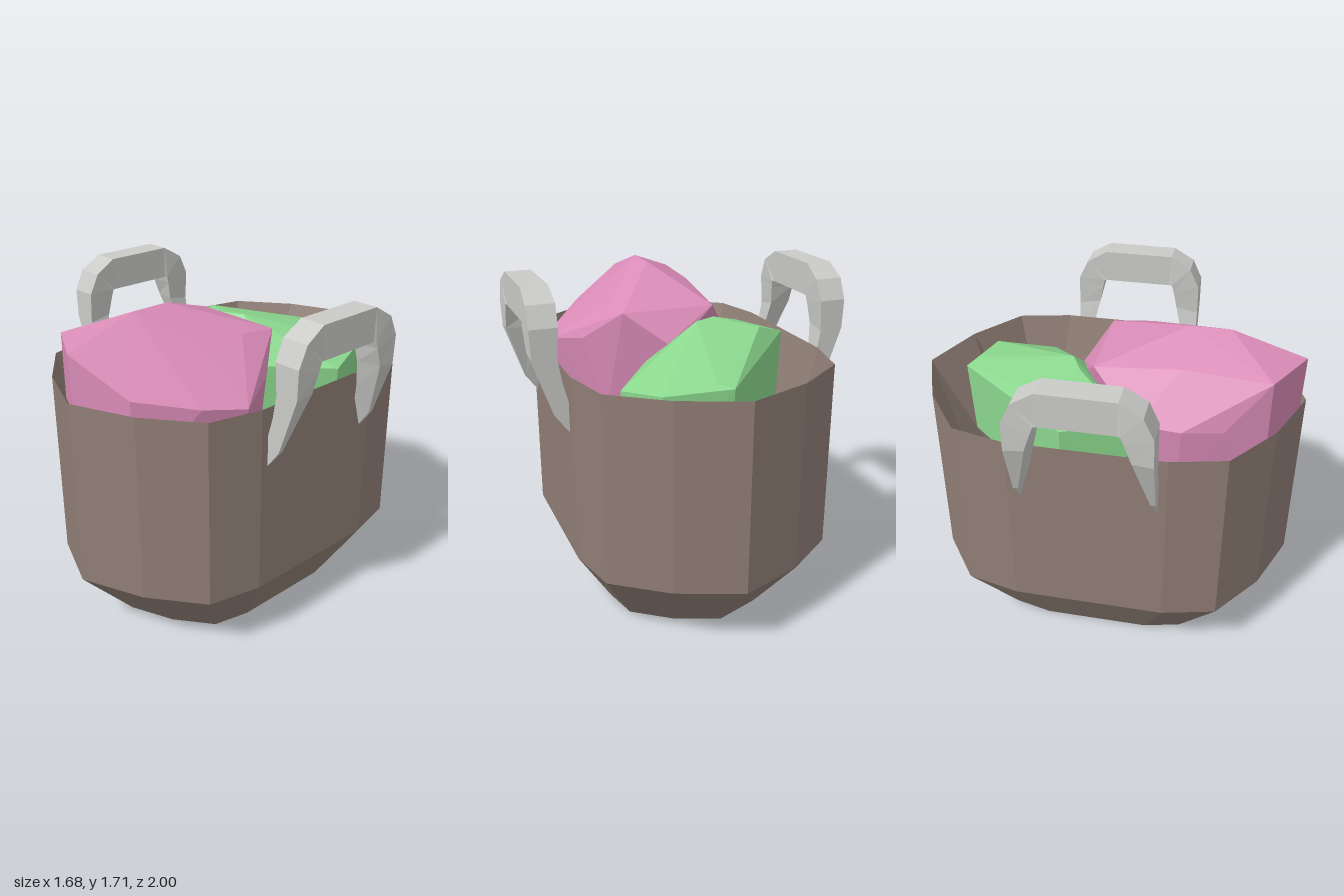
import * as THREE from 'three';
import { ConvexGeometry } from 'three/addons/geometries/ConvexGeometry.js';

const mat = (name, color) => {
  const m = new THREE.MeshStandardMaterial({ color, flatShading: true });
  m.name = name;
  return m;
};

// Skin a list of closed rings; optional flat caps at either end
function loft(rings, capStart, capEnd) {
  const pos = [];
  const tri = (...pts) => pts.forEach(p => pos.push(...p));
  const n = rings[0].length;
  for (let k = 0; k < rings.length - 1; k++) {
    for (let i = 0; i < n; i++) {
      const j = (i + 1) % n;
      const a = rings[k][i], b = rings[k][j], c = rings[k + 1][j], d = rings[k + 1][i];
      tri(a, b, c);
      tri(a, c, d);
    }
  }
  const first = rings[0], last = rings[rings.length - 1];
  for (let i = 1; i < n - 1; i++) {
    if (capStart) tri(first[0], first[i + 1], first[i]);
    if (capEnd) tri(last[0], last[i], last[i + 1]);
  }
  const g = new THREE.BufferGeometry();
  g.setAttribute('position', new THREE.Float32BufferAttribute(pos, 3));
  g.computeVertexNormals();
  return g;
}

// Convex bundle: visible upper points plus a footprint hidden inside the basket
function bundle(top, foot, y) {
  const pts = [...top, ...foot.map(([x, z]) => [x, y, z])];
  return new ConvexGeometry(pts.map(p => new THREE.Vector3(...p)));
}

export function createModel() {
  const model = new THREE.Group();
  const brown = mat('basketBrown', 0x8f7e75);
  const grey = mat('paleGrey', 0xcacac8);
  const pink = mat('pink', 0xda8cb8);
  const green = mat('green', 0x8cd98f);
  const add = (name, geometry, material) => {
    const mesh = new THREE.Mesh(geometry, material);
    mesh.name = name;
    model.add(mesh);
    return mesh;
  };

  // Oval outline, walked from front to back on the +x side, then mirrored
  const half = [[0, 1], [0.33, 0.87], [0.6, 0.67], [0.665, 0.395],
    [0.665, -0.39], [0.6, -0.67], [0.33, -0.87], [0, -1]];
  const outline = [...half, ...half.slice(1, -1).reverse().map(([x, z]) => [-x, z])];
  const ring = (y, s) => outline.map(([x, z]) => [x * s, y, z * s]);

  // Basket: tapered foot, straight wall, thin rim, sloping inside and floor
  const floor = outline.map(([x, z]) =>
    [Math.sign(x) * 0.42, 0.36, THREE.MathUtils.clamp(z, -0.49, 0.49)]);
  add('basket', loft([ring(0, 0.7), ring(0.33, 1), ring(1.31, 1), floor], false, true), brown);

  // Underside
  const base = new THREE.ShapeGeometry(
    new THREE.Shape(outline.map(([x, z]) => new THREE.Vector2(x * 0.7, z * 0.7))));
  base.rotateX(Math.PI / 2);
  add('base', base, grey);

  // Handle sections: outer edge outside, inner edge outside, inner edge inside, outer edge inside
  const leg = [
    [[0.66, 1.0, 0.345], [0.66, 1.0, 0.335], [0.66, 1.15, 0.29], [0.66, 1.15, 0.345]],
    [[0.735, 1.1, 0.345], [0.735, 1.1, 0.32], [0.69, 1.26, 0.26], [0.69, 1.26, 0.345]],
    [[0.835, 1.39, 0.345], [0.835, 1.4, 0.245], [0.71, 1.4, 0.225], [0.71, 1.38, 0.345]],
    [[0.84, 1.54, 0.345], [0.84, 1.5, 0.21], [0.7, 1.5, 0.205], [0.7, 1.54, 0.345]],
    [[0.84, 1.645, 0.295], [0.84, 1.54, 0.195], [0.695, 1.54, 0.195], [0.695, 1.645, 0.295]],
    [[0.835, 1.71, 0.185], [0.835, 1.54, 0.18], [0.7, 1.54, 0.18], [0.7, 1.71, 0.185]],
  ];
  const mirrored = leg.map(s => s.map(([x, y, z]) => [x, y, -z])).reverse();
  const handle = loft([...leg, ...mirrored], true, true);
  for (const [name, angle] of [['leftHandle', 0], ['rightHandle', Math.PI]]) {
    const h = add(name, handle, grey);
    h.rotation.y = angle;
    h.position.z = 0.01;
  }

  // Pink bundle resting at the front
  add('pinkBundle', bundle([
    [0, 1.665, 0.39], [0, 1.665, 0.6], [0, 1.545, 0.98], [-0.28, 1.545, 0.83],
    [-0.24, 1.55, 0.39], [-0.23, 1.52, 0.18], [-0.21, 1.5, -0.05], [0.29, 1.5, -0.05],
    [0.29, 1.52, 0.16], [0.29, 1.49, 0.39], [0.09, 1.35, -0.17], [0, 1.35, -0.15],
    [0.45, 1.33, 0.16], [0.57, 1.28, 0.39], [0.48, 1.31, 0.6], [0.29, 1.37, 0.86],
    [-0.41, 1.3, 0.42], [-0.39, 1.3, 0.19], [-0.37, 1.3, 0.62],
  ], [[0, 0.97], [-0.28, 0.83], [0.29, 0.86], [0.5, 0.39], [-0.38, 0.4], [0, -0.1], [0.35, 0.1]],
  0.9), pink);

  // Green bundle lying diagonally behind it
  add('greenBundle', bundle([
    [0, 1.3, -0.8], [0.07, 1.32, -0.75], [0.33, 1.28, -0.73], [0.21, 1.325, -0.6],
    [0.43, 1.22, -0.42], [-0.15, 1.35, -0.48], [0.03, 1.41, -0.35], [-0.38, 1.42, -0.27],
    [-0.18, 1.46, -0.13], [-0.06, 1.46, -0.19], [0.19, 1.25, -0.11],
    [-0.58, 1.345, -0.14], [-0.45, 1.345, 0.17], [-0.39, 1.3, 0.19],
  ], [[0, -0.78], [0.32, -0.72], [0.42, -0.42], [0.15, -0.1], [-0.38, 0.18], [-0.45, 0.16], [-0.56, -0.14]],
  0.9), green);

  return model;
}
